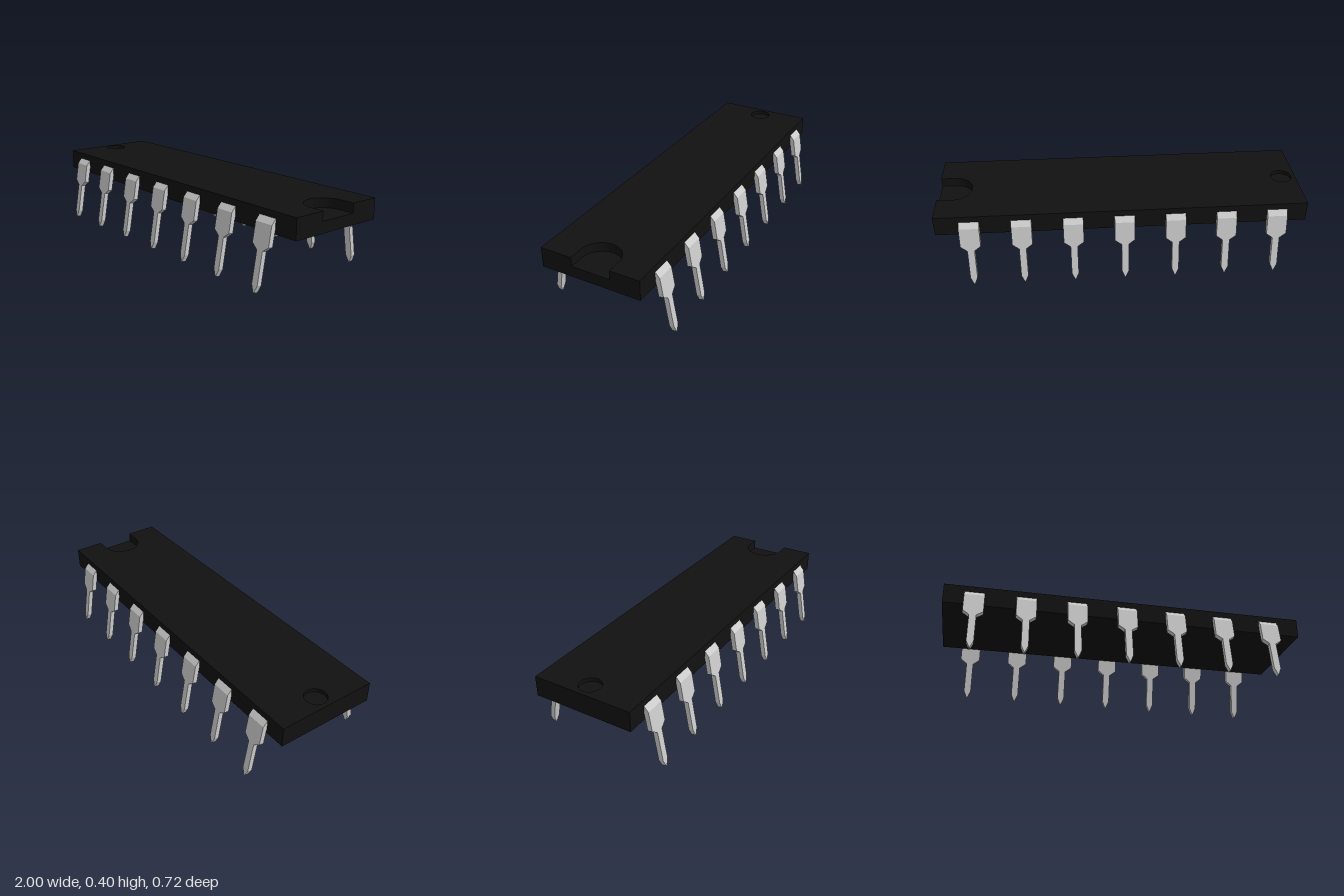
import * as THREE from 'three';
import { toCreasedNormals } from 'three/addons/utils/BufferGeometryUtils.js';

const BOTTOM = 0.29, STEP = 0.35, DIMPLE = 0.38, TOP = 0.4;
const HALF_Z = 0.276, MARK_Z = -0.006;

// Extrudes a plan shape (x, -z) upwards between two heights
function layer(shape, y0, y1) {
  const g = new THREE.ExtrudeGeometry(shape, { depth: y1 - y0, bevelEnabled: false, curveSegments: 24 });
  g.rotateX(-Math.PI / 2).translate(0, y0, 0);
  return toCreasedNormals(g, 0.5);
}

function plan(notched) {
  const s = new THREE.Shape();
  s.moveTo(-1, -HALF_Z);
  s.lineTo(1, -HALF_Z);
  if (notched) {
    const r = 0.107, cx = 0.922, cy = -MARK_Z;
    s.lineTo(1, cy - r);
    s.lineTo(cx, cy - r);
    s.absarc(cx, cy, r, -Math.PI / 2, -Math.PI * 1.5, true);
    s.lineTo(1, cy + r);
  }
  s.lineTo(1, HALF_Z);
  s.lineTo(-1, HALF_Z);
  s.closePath();
  return s;
}

// Bent leg from rectangular rings: [outer z, outer y, inner z, inner y, half width]
function pinGeometry() {
  const along = (y, w) => {
    const z = 0.3 + (0.338 - y) * 0.174;
    return [z, y, z - 0.026, y - 0.0045, w];
  };
  const rings = [
    [0.265, 0.379, 0.265, 0.343, 0.054],
    along(0.338, 0.054),
    along(0.234, 0.054),
    along(0.208, 0.019),
    along(0.045, 0.019),
    along(0.006, 0.002),
  ].map(([zo, yo, zi, yi, w]) => [[-w, yo, zo], [w, yo, zo], [w, yi, zi], [-w, yi, zi]]);
  const pos = [];
  const quad = (a, b, c, d) => pos.push(...a, ...b, ...c, ...a, ...c, ...d);
  for (let i = 0; i < rings.length - 1; i++) {
    const up = rings[i], low = rings[i + 1];
    for (let k = 0; k < 4; k++) {
      const n = (k + 1) % 4;
      quad(low[k], low[n], up[n], up[k]);
    }
  }
  const first = rings[0], last = rings[rings.length - 1];
  quad(...first);
  quad(last[3], last[2], last[1], last[0]);
  const g = new THREE.BufferGeometry();
  g.setAttribute('position', new THREE.Float32BufferAttribute(pos, 3));
  g.computeVertexNormals();
  return g;
}

export function createModel() {
  const model = new THREE.Group();
  model.name = 'dualInlineChip';
  const black = new THREE.MeshStandardMaterial({ color: 0x111111 });
  const metal = new THREE.MeshStandardMaterial({ color: 0xcccccc });
  const add = (parent, name, geometry, material) => {
    const m = new THREE.Mesh(geometry, material);
    m.name = name;
    parent.add(m);
    return m;
  };

  // Body: plain slab, notched layer, then notched layer with the round dimple
  const body = new THREE.Group();
  body.name = 'body';
  model.add(body);
  add(body, 'lowerBody', layer(plan(false), BOTTOM, STEP), black);
  add(body, 'notchedBody', layer(plan(true), STEP, DIMPLE), black);
  const topPlan = plan(true);
  topPlan.holes.push(new THREE.Path().absarc(-0.92, -MARK_Z, 0.058, 0, Math.PI * 2, true));
  add(body, 'dimpledTop', layer(topPlan, DIMPLE, TOP), black);

  // Two mirrored rows of seven pins
  const pin = pinGeometry();
  for (const side of [1, -1]) {
    const row = new THREE.Group();
    row.name = side > 0 ? 'frontPins' : 'backPins';
    model.add(row);
    for (let i = 0; i < 7; i++) {
      const p = add(row, 'pin' + (i + 1), pin, metal);
      p.position.x = -0.01 + (i - 3) * 0.2755;
      if (side < 0) p.rotation.y = Math.PI;
    }
  }
  return model;
}
